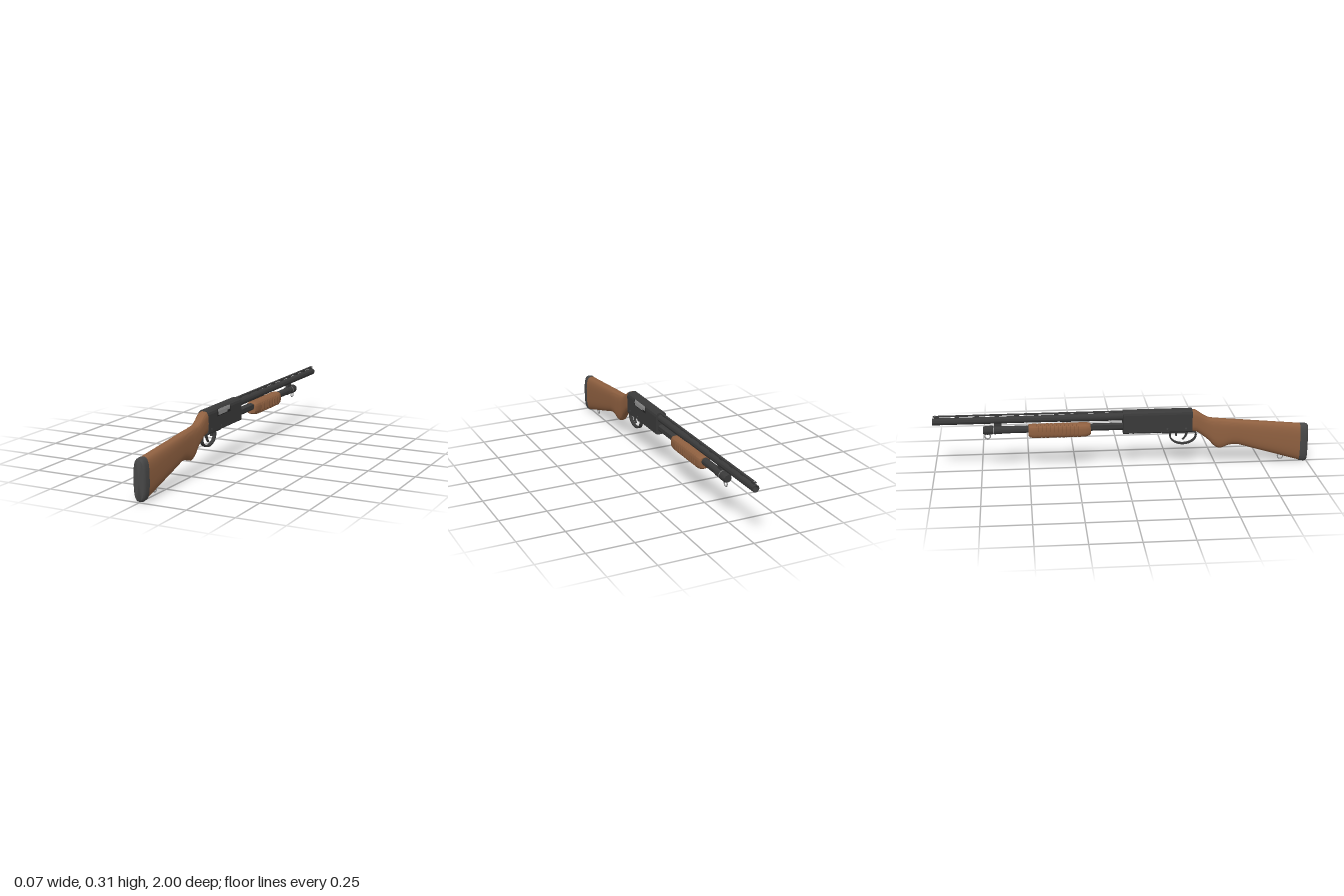
import * as THREE from 'three';
import { toCreasedNormals } from 'three/addons/utils/BufferGeometryUtils.js';

const mat = (name, color) => new THREE.MeshStandardMaterial({ name, color });

// Skin of superellipse rings; sections are [z, bottom, top, halfWidth], z rising
function loft(sections, power = 3, crease = 0.6, sides = 36) {
  const pos = [], idx = [];
  const bend = v => Math.sign(v) * Math.pow(Math.abs(v), 2 / power);
  for (const [z, lo, hi, w] of sections)
    for (let j = 0; j < sides; j++) {
      const a = (j / sides) * Math.PI * 2;
      pos.push(w * bend(Math.cos(a)), (lo + hi) / 2 + ((hi - lo) / 2) * bend(Math.sin(a)), z);
    }
  const last = sections.length - 1;
  for (const s of [sections[0], sections[last]]) pos.push(0, (s[1] + s[2]) / 2, s[0]);
  const c0 = sections.length * sides;
  for (let j = 0; j < sides; j++) {
    const k = (j + 1) % sides;
    for (let i = 0; i < last; i++) {
      const a = i * sides + j, b = i * sides + k;
      idx.push(a, b, a + sides, b, b + sides, a + sides);
    }
    idx.push(c0, k, j, c0 + 1, last * sides + j, last * sides + k);
  }
  const g = new THREE.BufferGeometry();
  g.setAttribute('position', new THREE.Float32BufferAttribute(pos, 3));
  g.setIndex(idx);
  return toCreasedNormals(g, crease);
}

const outline = pts => new THREE.Shape(pts.map(p => new THREE.Vector2(...p)));

// Outline in x, y pushed along z
function alongZ(pts, z0, z1) {
  const g = new THREE.ExtrudeGeometry(outline(pts), { depth: z1 - z0, bevelEnabled: false });
  return g.translate(0, 0, z0);
}

// Outline in z, y given a width across x
function acrossX(shape, width) {
  const g = new THREE.ExtrudeGeometry(shape, { depth: width, bevelEnabled: false, curveSegments: 24 });
  return toCreasedNormals(g.rotateY(-Math.PI / 2).translate(width / 2, 0, 0), 0.6);
}

// Turned part along z; points are [radius, z] running towards the muzzle
function turned(pts, y) {
  const g = new THREE.LatheGeometry(pts.map(([r, z]) => new THREE.Vector2(r, -z)), 28);
  return toCreasedNormals(g.rotateX(-Math.PI / 2).translate(0, y, 0), 0.6);
}

const box = (w, y0, y1, z0, z1, x = 0) =>
  new THREE.BoxGeometry(w, y1 - y0, z1 - z0).translate(x, (y0 + y1) / 2, (z0 + z1) / 2);

export function createModel() {
  const model = new THREE.Group();
  const wood = mat('wood', 0x8f6040);
  const metal = mat('dark metal', 0x3a3a3a);
  const rubber = mat('butt rubber', 0x474747);
  const steel = mat('bright steel', 0x909090);
  const groove = mat('recess black', 0x222222);
  const add = (name, geometry, material) => {
    const m = new THREE.Mesh(geometry, material);
    m.name = name;
    model.add(m);
    return m;
  };

  // Stock and butt pad
  add('stock', loft([
    [0.36, 0.19, 0.31, 0.03], [0.385, 0.187, 0.306, 0.03], [0.4, 0.183, 0.298, 0.029],
    [0.425, 0.165, 0.28, 0.027], [0.45, 0.145, 0.265, 0.026], [0.465, 0.132, 0.26, 0.026],
    [0.48, 0.113, 0.258, 0.026], [0.495, 0.099, 0.256, 0.027], [0.51, 0.091, 0.255, 0.027],
    [0.525, 0.088, 0.253, 0.027], [0.545, 0.094, 0.251, 0.028], [0.565, 0.103, 0.249, 0.028],
    [0.59, 0.108, 0.247, 0.029], [0.62, 0.107, 0.244, 0.029], [0.7, 0.083, 0.236, 0.031],
    [0.96, 0.006, 0.212, 0.033],
  ], 3, 0.8), wood);
  add('buttPad', loft([
    [0.957, 0.003, 0.213, 0.0335], [0.985, 0, 0.212, 0.0335],
    [0.995, 0.003, 0.209, 0.031], [1, 0.009, 0.203, 0.026],
  ], 3, 0.7), rubber);

  // Receiver with rounded top corners
  const half = [[0.025, 0.19], [0.03, 0.196], [0.03, 0.29], [0.027, 0.302], [0.019, 0.311]];
  const mirrored = half.map(([x, y]) => [-x, y]).reverse();
  add('receiver', alongZ([...half, ...mirrored], 0, 0.37), metal);

  // Ejection port wrapping the upper corner on the left side
  const port = (d, low) => [[0.028, low], [0.03 + d, low], [0.03 + d, 0.29], [0.0275 + d, 0.302], [0.025, 0.301], [0.028, 0.29]];
  add('ejectionPort', alongZ(port(0.0005, 0.266), 0.132, 0.274), groove);
  add('bolt', alongZ(port(0.001, 0.27), 0.137, 0.268), steel);
  add('extractorSlot', box(0.001, 0.27, 0.279, 0.137, 0.165, 0.0313), groove);

  // Underside: loading gate and trigger plate
  add('loadingOpening', box(0.04, 0.1885, 0.192, 0.03, 0.2), groove);
  add('loadingGate', box(0.032, 0.186, 0.191, 0.05, 0.195), rubber);
  add('triggerPlate', box(0.034, 0.183, 0.192, 0.21, 0.385), metal);
  for (const z of [0.235, 0.335])
    add('receiverPin', new THREE.CylinderGeometry(0.005, 0.005, 0.062, 14).rotateZ(Math.PI / 2).translate(0, 0.212, z), rubber);

  // Trigger guard, trigger and release lever
  const ring = new THREE.Shape().absellipse(0.323, 0.167, 0.074, 0.052, 0, Math.PI * 2);
  ring.holes.push(new THREE.Path().absellipse(0.323, 0.167, 0.066, 0.044, 0, Math.PI * 2));
  add('triggerGuard', acrossX(ring, 0.018), metal);
  const blade = new THREE.Shape();
  blade.moveTo(0.338, 0.19);
  blade.quadraticCurveTo(0.338, 0.162, 0.318, 0.142);
  blade.lineTo(0.324, 0.139);
  blade.quadraticCurveTo(0.35, 0.162, 0.35, 0.19);
  add('trigger', acrossX(blade, 0.01), metal);
  add('releaseLever', acrossX(outline([[0.278, 0.19], [0.282, 0.163], [0.292, 0.163], [0.29, 0.19]]), 0.01), metal);

  // Barrel with open bore, and magazine tube with cap
  add('barrel', turned([
    [0.0215, 0.01], [0.0205, -0.3], [0.0185, -0.34], [0.0185, -1],
    [0.0145, -1], [0.0145, -0.9], [0, -0.9],
  ], 0.28), metal);
  add('magazineTube', turned([[0.0195, 0.01], [0.0195, -0.65]], 0.225), metal);
  add('magazineCap', turned([
    [0, -0.64], [0.0225, -0.64], [0.0225, -0.678], [0.021, -0.68], [0.021, -0.687],
    [0.0235, -0.689], [0.0235, -0.725], [0.019, -0.737], [0, -0.737],
  ], 0.225), metal);
  add('capRing', turned([[0.0218, -0.681], [0.0218, -0.686]], 0.225), steel);
  add('barrelLug', box(0.014, 0.238, 0.268, -0.68, -0.64), metal);

  // Ventilated rib with posts and front sight
  add('sightRib', box(0.013, 0.305, 0.311, -0.995, 0.005), metal);
  for (let i = 0; i < 10; i++) {
    const z = -0.04 - i * 0.104;
    add('ribPost', box(0.01, 0.294, 0.307, z - 0.012, z + 0.012), metal);
  }
  add('frontSight', new THREE.SphereGeometry(0.004, 12, 8).translate(0, 0.311, -0.985), steel);

  // Sliding fore-end with cross grooves in its sides
  const grip = [[-0.5, 0.19, 0.246, 0.026], [-0.492, 0.182, 0.249, 0.031], [-0.47, 0.177, 0.25, 0.0335]];
  for (let i = 0; i < 11; i++) {
    const z = -0.452 + i * 0.021;
    grip.push([z - 0.004, 0.177, 0.25, 0.0335], [z - 0.003, 0.178, 0.249, 0.0295],
      [z + 0.003, 0.178, 0.249, 0.0295], [z + 0.004, 0.177, 0.25, 0.0335]);
  }
  grip.push([-0.2, 0.178, 0.25, 0.0335], [-0.18, 0.183, 0.248, 0.031], [-0.172, 0.189, 0.244, 0.027]);
  add('foreEnd', loft(grip, 3.2, 0.5), wood);
  for (const x of [-0.017, 0.017])
    add('actionBar', box(0.004, 0.222, 0.24, -0.19, 0.005, x), metal);

  // Sling loops
  for (const [y, z, top] of [[0.029, 0.857, 0.055], [0.192, -0.715, 0.207]]) {
    add('slingLoop', new THREE.TorusGeometry(0.0145, 0.0032, 10, 24).rotateY(Math.PI / 2).translate(0, y, z), steel);
    add('slingStud', box(0.008, y + 0.008, top, z - 0.005, z + 0.005), metal);
  }
  return model;
}
